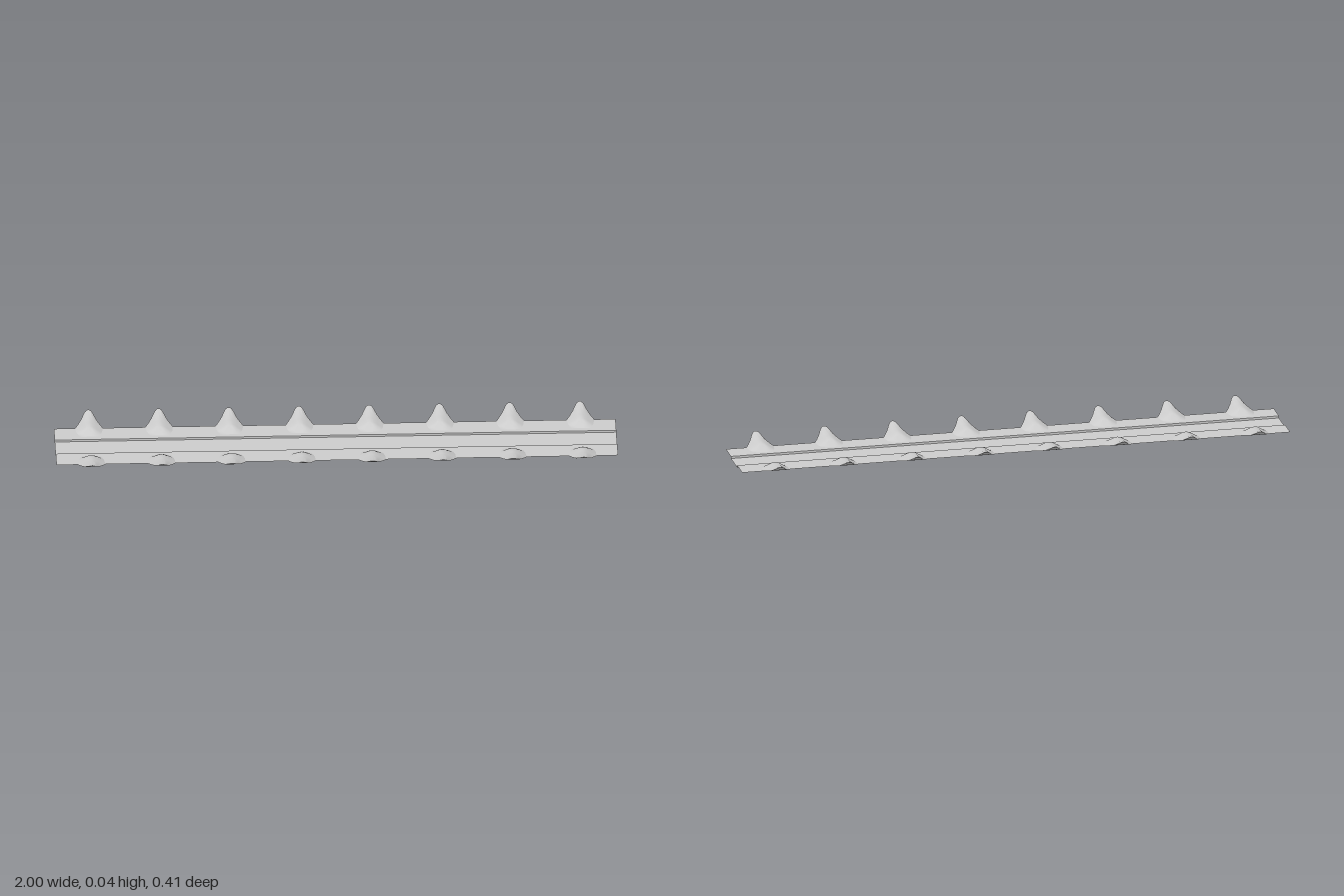
import * as THREE from 'three';
import { toCreasedNormals } from 'three/addons/utils/BufferGeometryUtils.js';

const material = new THREE.MeshStandardMaterial({ color: 0xcccccc, side: THREE.DoubleSide });

// Shallow channel of thin sheet: raised flanges either side of a sunken floor, as [z, y]
function createStrip() {
  const strip = new THREE.Group();
  strip.name = 'channelStrip';
  const profile = [[0.132, 0.008], [0.05, 0.008], [0.05, 0], [-0.05, 0], [-0.05, 0.008], [-0.132, 0.008]];
  const names = ['frontFlange', 'frontStep', 'channelFloor', 'backStep', 'backFlange'];
  names.forEach((name, i) => {
    const [z0, y0] = profile[i];
    const [z1, y1] = profile[i + 1];
    const geometry = new THREE.PlaneGeometry(2, Math.hypot(z1 - z0, y1 - y0));
    geometry.rotateX(Math.atan2(z1 - z0, y1 - y0));
    geometry.translate(0, (y0 + y1) / 2, (z0 + z1) / 2);
    const mesh = new THREE.Mesh(geometry, material);
    mesh.name = name;
    strip.add(mesh);
  });
  return strip;
}

// Ridged tooth lofted from bell-shaped sections, rising towards its rounded tip
function createToothGeometry() {
  // z, base y, shoulder y, ridge y, base half width, shoulder half width, ridge half width
  const sections = [
    [0.07, 0.008, 0.008, 0.008, 0.034, 0.022, 0.008],
    [0.083, 0.008, 0.011, 0.015, 0.039, 0.024, 0.009],
    [0.094, 0.008, 0.017, 0.024, 0.043, 0.025, 0.01],
    [0.104, 0.008, 0.019, 0.029, 0.046, 0.026, 0.011],
    [0.133, 0.008, 0.019, 0.03, 0.049, 0.027, 0.011],
    [0.15, 0.013, 0.022, 0.032, 0.039, 0.025, 0.011],
    [0.172, 0.021, 0.028, 0.036, 0.027, 0.02, 0.01],
    [0.192, 0.033, 0.036, 0.04, 0.017, 0.014, 0.008],
    [0.2, 0.038, 0.04, 0.042, 0.012, 0.01, 0.006],
    [0.204, 0.042, 0.0425, 0.043, 0.005, 0.004, 0.002],
  ];
  const positions = [];
  const index = [];
  const n = 8;
  sections.forEach(([z, yb, ys, yt, b, s, t], i) => {
    const ring = [[-b, yb], [-s, ys], [-t, yt - (yt - ys) * 0.15], [0, yt],
      [t, yt - (yt - ys) * 0.15], [s, ys], [b, yb], [0, yb]];
    ring.forEach(([x, y]) => positions.push(x, y, z));
    if (i === 0) return;
    for (let j = 0; j < n; j++) {
      const k = (j + 1) % n;
      const p = (i - 1) * n;
      const q = i * n;
      index.push(p + j, q + j, q + k, p + j, q + k, p + k);
    }
  });
  // Close the tip
  const last = (sections.length - 1) * n;
  for (let j = 1; j < n - 1; j++) index.push(last, last + j + 1, last + j);
  const geometry = new THREE.BufferGeometry();
  geometry.setAttribute('position', new THREE.Float32BufferAttribute(positions, 3));
  geometry.setIndex(index);
  return toCreasedNormals(geometry, 0.5);
}

export function createModel() {
  const model = new THREE.Group();
  model.name = 'toothedStrip';
  model.add(createStrip());

  // Eight evenly spaced teeth along each long edge
  const toothGeometry = createToothGeometry();
  for (const side of ['front', 'back']) {
    const row = new THREE.Group();
    row.name = side + 'Teeth';
    for (let i = 0; i < 8; i++) {
      const tooth = new THREE.Mesh(toothGeometry, material);
      tooth.name = side + 'Tooth';
      tooth.position.x = -0.875 + i * 0.25;
      row.add(tooth);
    }
    if (side === 'back') row.rotation.y = Math.PI;
    model.add(row);
  }
  return model;
}
